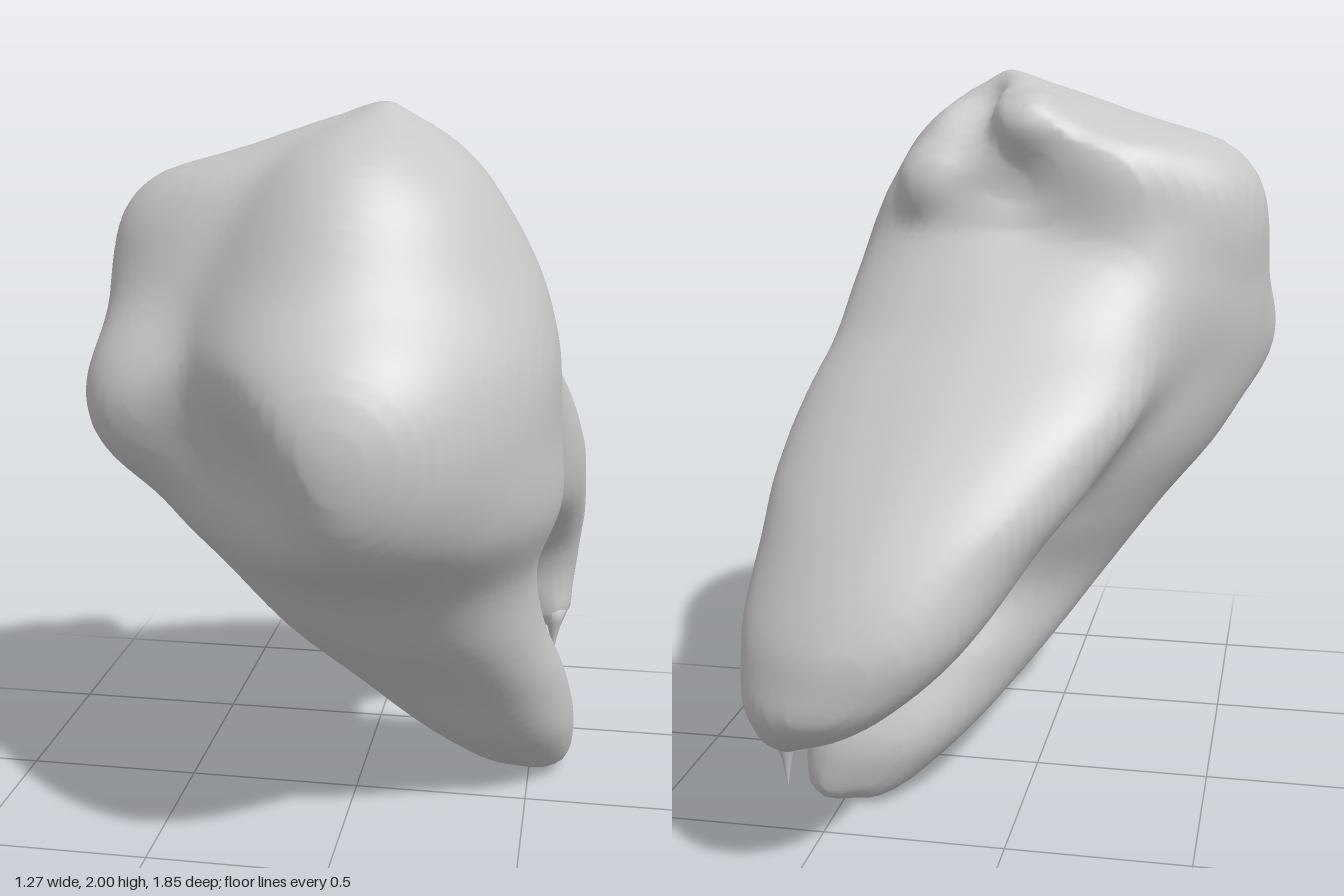
import * as THREE from 'three';

// crown and front root: y, centre x, centre z, then radii every 45 degrees from +x towards +z
const BODY = [
  [0.02, 0.47, -0.26, 0.15, 0.14, 0.11, 0.12, 0.12, 0.11, 0.1, 0.14],
  [0.2, 0.4, -0.15, 0.23, 0.24, 0.21, 0.23, 0.25, 0.24, 0.22, 0.24],
  [0.4, 0.3, -0.02, 0.3, 0.29, 0.24, 0.28, 0.33, 0.29, 0.25, 0.28],
  [0.6, 0.2, 0.12, 0.34, 0.33, 0.28, 0.33, 0.39, 0.34, 0.28, 0.33],
  [0.8, 0.12, 0.17, 0.4, 0.42, 0.4, 0.42, 0.46, 0.42, 0.37, 0.38],
  [1.0, 0.05, 0.2, 0.53, 0.58, 0.62, 0.52, 0.55, 0.48, 0.5, 0.53],
  [1.2, 0, 0.25, 0.57, 0.62, 0.64, 0.5, 0.6, 0.52, 0.55, 0.6],
  [1.4, 0, 0.25, 0.56, 0.6, 0.62, 0.48, 0.62, 0.55, 0.51, 0.57],
  [1.6, 0, 0.22, 0.5, 0.52, 0.52, 0.42, 0.59, 0.49, 0.34, 0.44],
  [1.8, 0.03, 0.2, 0.35, 0.4, 0.42, 0.33, 0.51, 0.44, 0.31, 0.36],
  [1.9, 0.08, 0.18, 0.2, 0.25, 0.33, 0.25, 0.28, 0.29, 0.3, 0.23],
  [1.98, 0.11, 0.18, 0.06, 0.08, 0.12, 0.08, 0.08, 0.1, 0.1, 0.07],
];

// back root: y, min x, max x, min z, max z
const ROOT = [
  [0.3, 0.53, 0.57, -0.637, -0.597],
  [0.36, 0.44, 0.6, -0.74, -0.58],
  [0.42, 0.33, 0.605, -0.83, -0.565],
  [0.5, 0.22, 0.615, -0.91, -0.54],
  [0.6, 0.1, 0.625, -0.92, -0.47],
  [0.7, 0.01, 0.635, -0.91, -0.34],
  [0.85, -0.1, 0.635, -0.84, -0.1],
  [1.0, -0.22, 0.625, -0.73, 0],
  [1.2, -0.34, 0.57, -0.54, 0.1],
  [1.4, -0.32, 0.47, -0.31, 0.18],
  [1.6, -0.2, 0.33, -0.08, 0.2],
];

// smooth interpolation of a section table at height y
function sectionAt(rows, y) {
  const n = rows.length;
  const yc = Math.min(Math.max(y, rows[0][0]), rows[n - 1][0]);
  let i = 0;
  while (i < n - 2 && yc > rows[i + 1][0]) i++;
  const a = rows[i], b = rows[i + 1];
  const p = rows[Math.max(i - 1, 0)], q = rows[Math.min(i + 2, n - 1)];
  const h = b[0] - a[0], t = (yc - a[0]) / h, t2 = t * t, t3 = t2 * t;
  return a.map((v, k) => {
    const ma = (b[k] - p[k]) / (b[0] - p[0]) * h;
    const mb = (q[k] - v) / (q[0] - a[0]) * h;
    return (2 * t3 - 3 * t2 + 1) * v + (t3 - 2 * t2 + t) * ma + (3 * t2 - 2 * t3) * b[k] + (t3 - t2) * mb;
  });
}

const smin = (a, b, k) => {
  const h = Math.max(k - Math.abs(a - b), 0) / k;
  return Math.min(a, b) - h * h * k / 4;
};
const smax = (a, b, k) => -smin(-a, -b, k);
const ball = (x, y, z, cx, cy, cz, r) => Math.hypot(x - cx, y - cy, z - cz) - r;

function bodyField(s, x, z) {
  const dx = x - s[1], dz = z - s[2];
  const turn = (Math.atan2(dz, dx) / (Math.PI / 4) + 8) % 8;
  const i = Math.floor(turn), t = turn - i;
  const r = (k) => s[3 + ((i + k + 8) % 8)];
  const a = r(-1), b = r(0), c = r(1), d = r(2);
  const radius = b + 0.5 * t * (c - a + t * (2 * a - 5 * b + 4 * c - d + t * (3 * (b - c) + d - a)));
  return (Math.hypot(dx, dz) - radius) * 0.85;
}

// rounded-oval section, rounder on its outer back corner
function rootField(s, x, z) {
  const rx = (s[2] - s[1]) / 2, rz = (s[4] - s[3]) / 2;
  const u = (x - s[1] - rx) / rx, v = (z - s[3] - rz) / rz;
  const e = u > 0 && v < 0 ? 1.7 : 2.4;
  return (Math.pow(Math.abs(u) ** e + Math.abs(v) ** e, 1 / e) - 1) * Math.min(rx, rz);
}

// signed field of the whole tooth, given the sections at this height
function field(body, root, x, y, z) {
  let d = smax(bodyField(body, x, z), Math.abs(y - 1) - 1, 0.08);
  const r = Math.max(rootField(root, x, z), y - 1.6, 0.3 - y);
  d = smin(d, r, 0.1);
  // front cusp, two side cusps, rear horn of the top cusp and small rear cusp
  d = smin(d, ball(x, y, z, 0.1, 1.23, 0.62, 0.285), 0.1);
  d = smin(d, ball(x, y, z, -0.44, 1.27, 0.41, 0.175), 0.14);
  d = smin(d, ball(x, y, z, -0.41, 1.62, 0.15, 0.175), 0.1);
  d = smin(d, ball(x, y, z, 0, 1.87, -0.06, 0.085), 0.07);
  d = smin(d, ball(x, y, z, 0.28, 1.71, -0.04, 0.085), 0.07);
  // hollow between the front cusps
  d = smax(d, -ball(x, y, z, -0.31, 1.08, 0.86, 0.23), 0.2);
  // fissure beside the top cusp
  const t = Math.min(Math.max((0.08 - z) / 0.3, 0), 1);
  return smax(d, -ball(x, y, z, 0.17, 1.95 - 0.12 * t, 0.08 - 0.3 * t, 0.06), 0.08);
}

// smooth skin over the field: one vertex per crossed cell, one quad per crossed edge
function skin() {
  const h = 0.025, min = [-0.75, -0.06, -1.01], n = [61, 86, 82];
  const step = [1, n[0], n[0] * n[1]];
  const total = n[0] * n[1] * n[2];
  const values = new Float32Array(total), ids = new Int32Array(total).fill(-1);
  for (let j = 0; j < n[1]; j++) {
    const y = min[1] + j * h;
    const body = sectionAt(BODY, y), root = sectionAt(ROOT, y);
    for (let k = 0; k < n[2]; k++) for (let i = 0; i < n[0]; i++) {
      values[i + j * step[1] + k * step[2]] = field(body, root, min[0] + i * h, y, min[2] + k * h);
    }
  }
  const positions = [], index = [];
  const eachCell = (start, visit) => {
    for (let k = start; k < n[2] - 1; k++)
      for (let j = start; j < n[1] - 1; j++)
        for (let i = start; i < n[0] - 1; i++) visit([i, j, k], i + j * step[1] + k * step[2]);
  };
  eachCell(0, (cell, at) => {
    const sum = [0, 0, 0];
    let count = 0;
    for (let c = 0; c < 8; c++) for (let a = 0; a < 3; a++) {
      if (c & (1 << a)) continue;
      const bits = [c & 1, (c >> 1) & 1, (c >> 2) & 1];
      const p = at + bits[0] * step[0] + bits[1] * step[1] + bits[2] * step[2];
      const v0 = values[p], v1 = values[p + step[a]];
      if ((v0 < 0) === (v1 < 0)) continue;
      bits[a] = v0 / (v0 - v1);
      for (let m = 0; m < 3; m++) sum[m] += bits[m];
      count++;
    }
    if (!count) return;
    ids[at] = positions.length / 3;
    for (let m = 0; m < 3; m++) positions.push(min[m] + (cell[m] + sum[m] / count) * h);
  });
  eachCell(1, (cell, at) => {
    for (let a = 0; a < 3; a++) {
      const inside = values[at] < 0;
      if (inside === (values[at + step[a]] < 0)) continue;
      const b = step[(a + 1) % 3], c = step[(a + 2) % 3];
      const quad = [ids[at - b - c], ids[at - c], ids[at], ids[at - b]];
      if (!inside) quad.reverse();
      index.push(quad[0], quad[1], quad[2], quad[0], quad[2], quad[3]);
    }
  });
  const geometry = new THREE.BufferGeometry();
  geometry.setAttribute('position', new THREE.Float32BufferAttribute(positions, 3));
  geometry.setIndex(index);
  geometry.computeVertexNormals();
  return geometry;
}

export function createModel() {
  const model = new THREE.Group();
  model.name = 'molarTooth';
  const enamel = new THREE.MeshStandardMaterial({ color: 0xc8c8c8 });
  enamel.name = 'enamelGrey';

  const tooth = new THREE.Mesh(skin(), enamel);
  tooth.name = 'crownAndRoots';
  model.add(tooth);

  // thin point at the end of the back root
  const profile = [[0.001, 0.2], [0.007, 0.24], [0.015, 0.28], [0.027, 0.32], [0.038, 0.36], [0.001, 0.4]]
    .map(([r, y]) => new THREE.Vector2(r, y));
  const point = new THREE.Mesh(new THREE.LatheGeometry(profile, 16), enamel);
  point.name = 'backRootPoint';
  point.position.set(0.55, 0, -0.62);
  model.add(point);
  return model;
}
